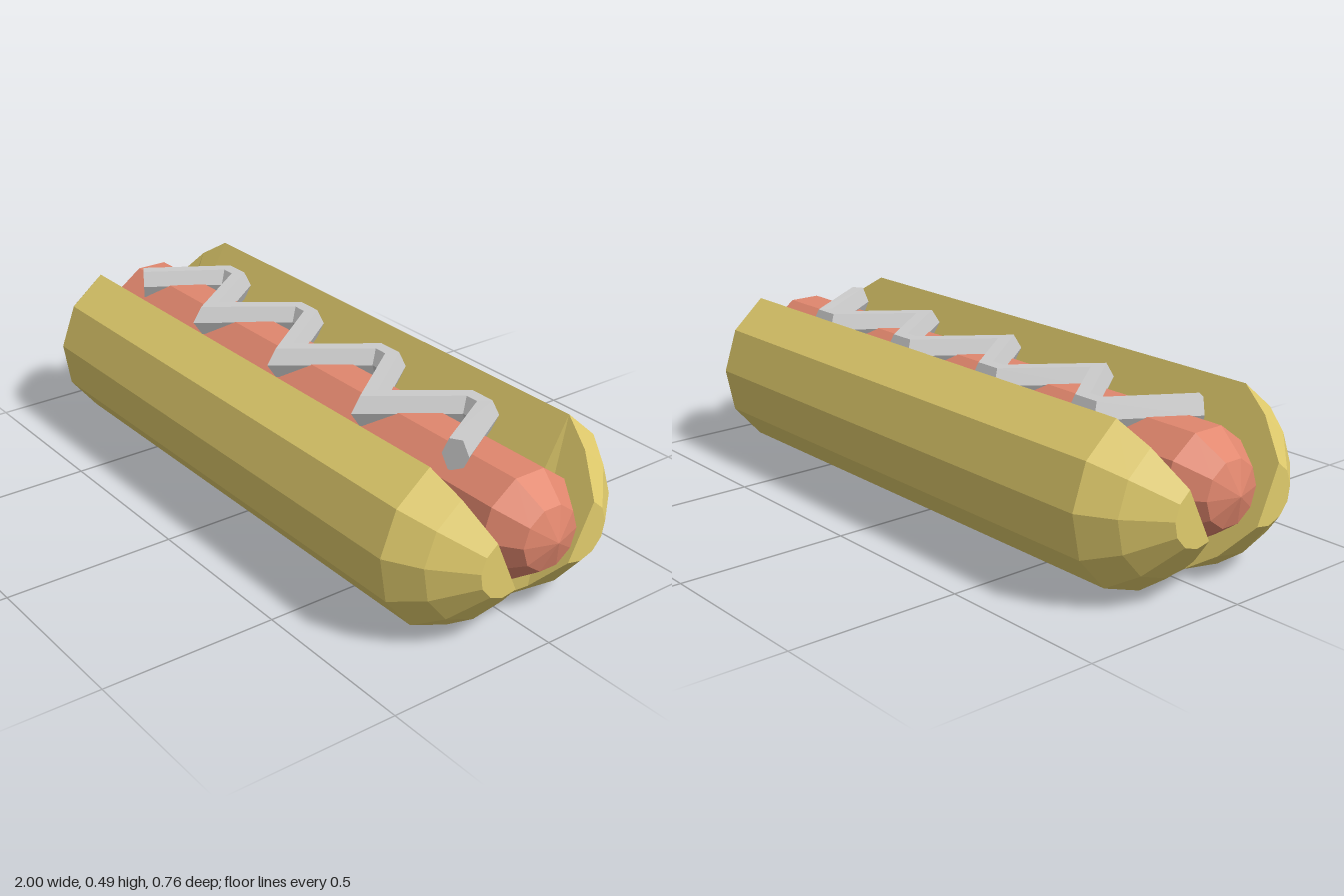
import * as THREE from 'three';

// Skin a list of equal-length point rings running toward +x, closing both ends
function loft(rings) {
  const pos = [];
  const tri = (...pts) => pts.forEach((p) => pos.push(p.x, p.y, p.z));
  const n = rings[0].length;
  const middle = (ring) => ring.reduce((s, p) => s.add(p), new THREE.Vector3()).divideScalar(n);
  const first = rings[0], last = rings[rings.length - 1];
  const c0 = middle(first), c1 = middle(last);
  for (let j = 0; j < n; j++) {
    const k = (j + 1) % n;
    for (let i = 0; i < rings.length - 1; i++) {
      const [a, b] = [rings[i], rings[i + 1]];
      tri(a[j], a[k], b[k]);
      tri(a[j], b[k], b[j]);
    }
    tri(c0, first[k], first[j]);
    tri(c1, last[j], last[k]);
  }
  const geo = new THREE.BufferGeometry();
  geo.setAttribute('position', new THREE.Float32BufferAttribute(pos, 3));
  geo.computeVertexNormals();
  return geo;
}

// Points on an arc in the plane x, measured from +y toward +z
function arc(x, cy, cz, r, startDeg, stepDeg, count) {
  return Array.from({ length: count }, (_, i) => {
    const a = THREE.MathUtils.degToRad(startDeg + i * stepDeg);
    return new THREE.Vector3(x, cy + r * Math.cos(a), cz + r * Math.sin(a));
  });
}

// Mirror a half profile of [x, radius] into a full one from -x to +x
const bothEnds = (half) => [...half.map(([x, r]) => [-x, r]), ...half.slice().reverse()];

function part(name, geometry, color) {
  const material = new THREE.MeshStandardMaterial({ color, flatShading: true });
  const mesh = new THREE.Mesh(geometry, material);
  mesh.name = name;
  return mesh;
}

export function createModel() {
  const group = new THREE.Group();
  group.name = 'hotDog';
  const bunColor = 0xe0cb6c;

  // Bun halves: half cylinders with stepped round ends, touching along the bottom
  const R = 0.253;
  const bunProfile = bothEnds([[0.968, 0.085], [0.88, 0.19], [0.79, R]]);
  const frontRings = bunProfile.map(([x, r]) => arc(x - 0.005, 0.254, 0.127, r, 24, 30, 7));
  const backRings = bunProfile.map(([x, r]) => {
    const ring = arc(x - 0.005, 0.262, -0.124, r, 153.4, 30, 7);
    if (r === R) ring[0].set(x - 0.005, 0.022, 0.022); // hinge edge
    return ring;
  });
  group.add(part('bunFront', loft(frontRings), bunColor));
  group.add(part('bunBack', loft(backRings), bunColor));

  // Sausage: ten-sided with pointed ends
  const sausageProfile = bothEnds([[1, 0.001], [0.97, 0.09], [0.885, 0.152]]);
  const sausageRings = sausageProfile.map(([x, r]) => arc(x, 0.29, -0.008, r, 18, 36, 10));
  group.add(part('sausage', loft(sausageRings), 0xe0866d));

  // Sauce: mitred zigzag with blunt back corners and sharp front corners
  const path = [[-0.77, 0.09]];
  for (let i = 0; i < 4; i++) {
    const x = -0.6 + i * 0.383;
    path.push([x - 0.03, -0.135], [x + 0.03, -0.135]);
    path.push(i < 3 ? [x + 0.195, 0.08] : [0.715, 0.085]);
  }
  const pts = path.map(([x, z]) => new THREE.Vector2(x, z));
  const side = (a, b) => {
    const d = b.clone().sub(a).normalize();
    return new THREE.Vector2(-d.y, d.x);
  };
  const sauceRings = pts.map((p, i) => {
    const before = side(pts[Math.max(i - 1, 0)], pts[Math.max(i, 1)]);
    const last = pts.length - 1;
    const after = side(pts[Math.min(i, last - 1)], pts[Math.min(i + 1, last)]);
    const m = before.clone().add(after).normalize();
    m.multiplyScalar(0.036 / m.dot(before));
    const y = i === last ? 0.442 : 0.432;
    return Array.from({ length: 6 }, (_, j) => {
      const a = ((j + 0.5) * Math.PI) / 3;
      const s = Math.sin(a);
      return new THREE.Vector3(p.x + m.x * s, y + 0.051 * Math.cos(a), p.y + m.y * s);
    });
  });
  group.add(part('sauce', loft(sauceRings), 0xcccccc));

  return group;
}
